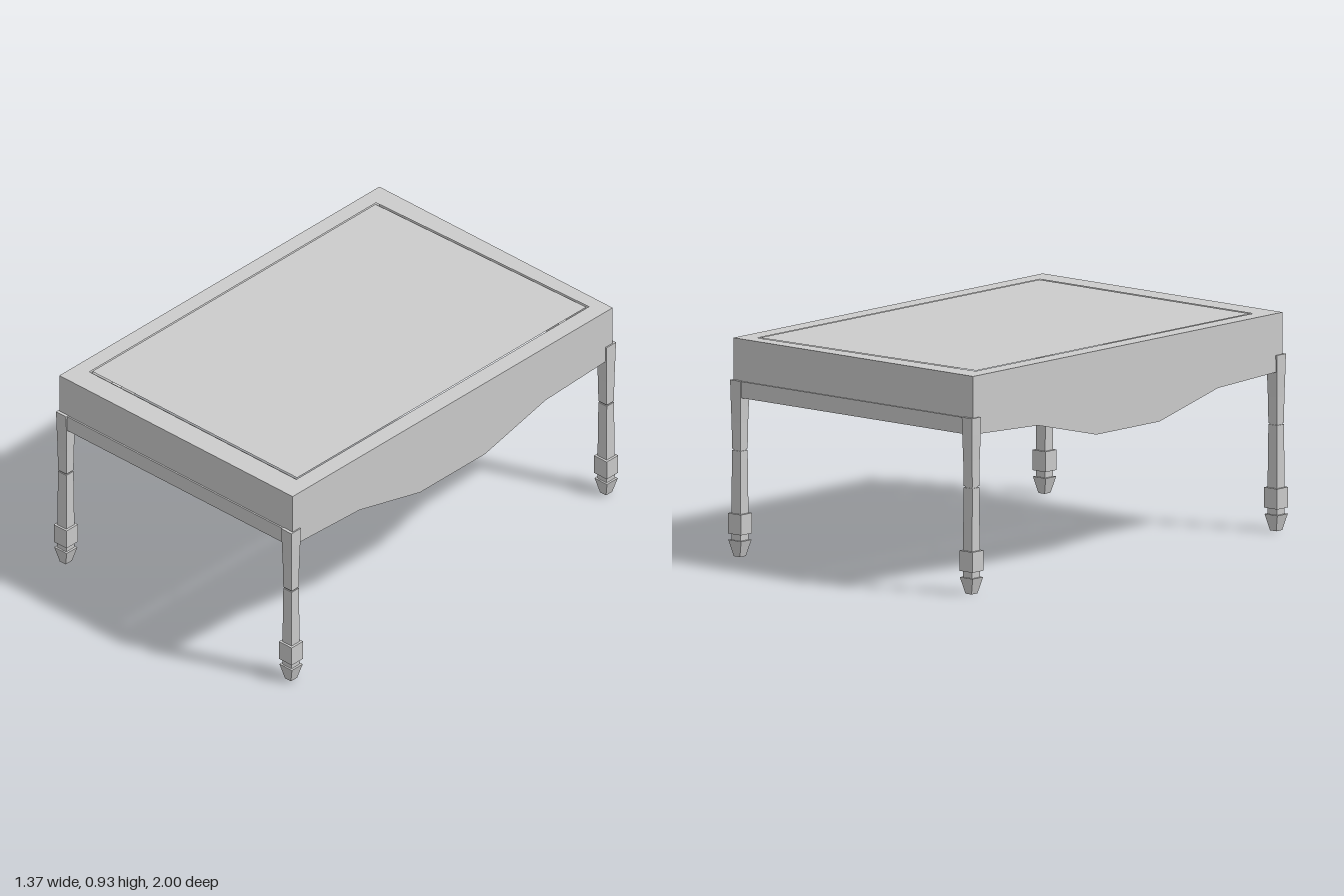
import * as THREE from 'three';

const grey = new THREE.MeshStandardMaterial({ color: 0xcccccc, flatShading: true, side: THREE.DoubleSide });

const TOP = 0.93, SEAM = 0.75, HX = 0.67, HZ = 0.98;

function add(parent, name, geometry) {
  const mesh = new THREE.Mesh(geometry, grey);
  mesh.name = name;
  parent.add(mesh);
  return mesh;
}

const polygon = (pts) => new THREE.Shape(pts.map(([x, y]) => new THREE.Vector2(x, y)));

// Flat horizontal sheet from [x, z] points, facing up
function sheet(pts, y, hole) {
  const flip = (list) => list.map(([x, z]) => [x, -z]);
  const shape = polygon(flip(pts));
  if (hole) shape.holes.push(polygon(flip(hole)));
  return new THREE.ShapeGeometry(shape).rotateX(-Math.PI / 2).translate(0, y, 0);
}

// Square-section loft through [y, half width x, half width z] rings, capped at both ends
function loft(rings) {
  const pos = [];
  const corners = ([y, a, b]) => [[a, y, b], [a, y, -b], [-a, y, -b], [-a, y, b]];
  const quad = (a, b, c, d) => pos.push(...a, ...b, ...c, ...a, ...c, ...d);
  for (let i = 0; i < rings.length - 1; i++) {
    const lo = corners(rings[i]), hi = corners(rings[i + 1]);
    for (let k = 0; k < 4; k++) {
      const n = (k + 1) % 4;
      quad(lo[k], lo[n], hi[n], hi[k]);
    }
  }
  quad(...corners(rings[0]).reverse());
  quad(...corners(rings[rings.length - 1]));
  const g = new THREE.BufferGeometry();
  g.setAttribute('position', new THREE.Float32BufferAttribute(pos, 3));
  g.computeVertexNormals();
  return g;
}

// Half curves of the side apron as [z, y], mirrored to full length
const mirrorCurve = (half) => [...half, ...half.map(([z, y]) => [-z, y]).reverse()];
const lower = mirrorCurve([[HZ, 0.68], [0.94, 0.68], [0.57, 0.664], [0.2, 0.573]]);
const upper = mirrorCurve([[HZ, SEAM], [0.94, SEAM], [0.57, 0.734], [0.2, 0.643]]);

export function createModel() {
  const table = new THREE.Group();
  table.name = 'table';

  // Table top: border, sunk groove and centre panel with one skewed end
  const outer = [[-HX, -HZ], [HX, -HZ], [HX, HZ], [-HX, HZ]];
  const hole = [[-0.597, -0.882], [0.592, -0.918], [0.592, 0.874], [-0.597, 0.874]];
  const inner = [[-0.591, -0.872], [0.586, -0.908], [0.586, 0.863], [-0.591, 0.863]];
  const top = new THREE.Group();
  top.name = 'tableTop';
  table.add(top);
  add(top, 'topBorder', sheet(outer, TOP, hole));
  add(top, 'topGroove', sheet(hole, TOP - 0.008, inner));
  add(top, 'topPanel', sheet(inner, TOP));

  for (const s of [1, -1]) {
    const side = s > 0 ? 'left' : 'right', end = s > 0 ? 'front' : 'back';

    // Thin long side wall with a curved lower edge
    const wall = polygon([[HZ, TOP], ...upper, [-HZ, TOP]]);
    add(table, side + 'Wall', new THREE.ShapeGeometry(wall).rotateY(s * Math.PI / 2).translate(s * HX, 0, 0));

    // Curved moulding under the long side
    const band = polygon([...lower, ...[...upper].reverse()]);
    const rail = new THREE.ExtrudeGeometry(band, { depth: 0.053, bevelEnabled: false });
    rail.rotateY(Math.PI / 2).translate(s > 0 ? HX - 0.053 : -HX, 0, 0);
    add(table, side + 'Rail', rail);

    // Thin end wall and its straight moulding, which stands slightly proud
    const endWall = new THREE.PlaneGeometry(2 * HX, TOP - SEAM);
    if (s < 0) endWall.rotateY(Math.PI);
    add(table, end + 'Wall', endWall.translate(0, (TOP + SEAM) / 2, s * HZ));
    add(table, end + 'Rail', new THREE.BoxGeometry(2 * HX, SEAM - 0.68, 0.053)
      .translate(0, (SEAM + 0.68) / 2, s * (HZ + 0.007 - 0.0265)));
  }

  // Legs: tapered foot, neck, square block and shaft with a fine notch
  const legGeometry = loft([
    [0, 0.017, 0.019], [0.07, 0.036, 0.033], [0.07, 0.026, 0.025], [0.097, 0.026, 0.025],
    [0.097, 0.0365, 0.035], [0.184, 0.0365, 0.035], [0.184, 0.026, 0.025],
    [0.452, 0.024, 0.022], [0.452, 0.02, 0.018], [0.458, 0.02, 0.018], [0.458, 0.024, 0.022],
    [0.57, 0.025, 0.024], [0.68, 0.028, 0.027], [0.752, 0.029, 0.029],
  ]);
  for (const x of [1, -1]) {
    for (const z of [1, -1]) {
      const name = (z > 0 ? 'front' : 'back') + (x > 0 ? 'Left' : 'Right') + 'Leg';
      add(table, name, legGeometry).position.set(x * 0.647, 0, z * 0.965);
    }
  }
  return table;
}
